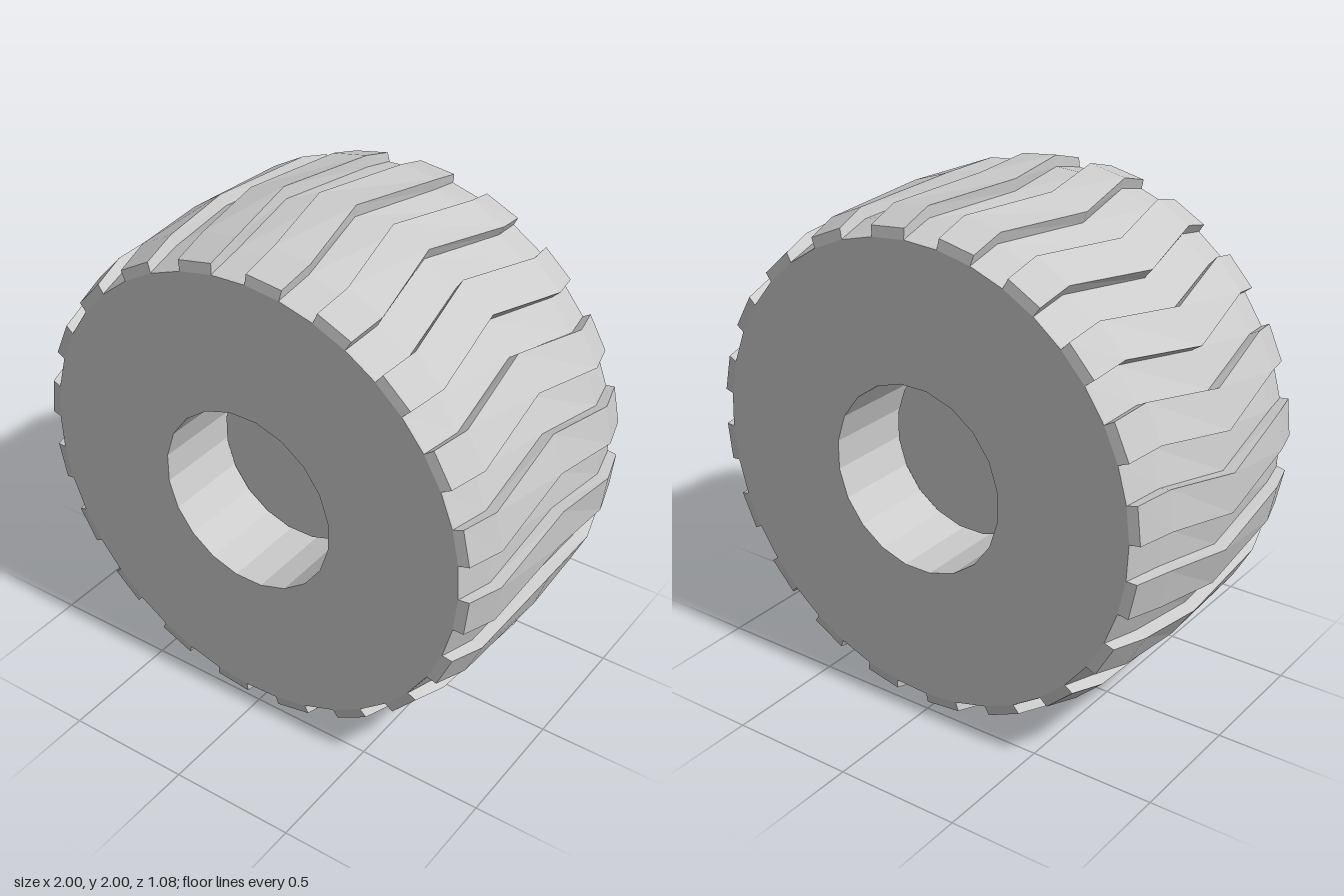
import * as THREE from 'three';

const LUGS = 20;
const BORE = 0.367;
const HUB = 0.35;
const HALF = 0.54;
const deg = Math.PI / 180;

// Cross-sections along the axle: z, lug radius, groove radius, chevron twist in degrees
const half = [
  { z: HALF, top: 0.9, low: 0.9, twist: -4.8 },
  { z: 0.533, top: 0.94, low: 0.903, twist: -4.8 },
  { z: 0.39, top: 0.982, low: 0.937, twist: -5.2 },
];
const stations = [
  ...half,
  { z: 0, top: 1, low: 0.953, twist: 0 },
  ...half.map((s) => ({ ...s, z: -s.z })).reverse(),
];

// Toothed outline: each lug spans 9 degrees, followed by a 9 degree groove
function section({ z, top, low, twist }) {
  const pts = [];
  for (let i = 0; i < LUGS; i++) {
    const a = 12.1 + twist + (i * 360) / LUGS;
    for (const [da, r] of [[0, top], [9, top], [9, low], [18, low]]) {
      const t = (a + da) * deg;
      pts.push(new THREE.Vector3(r * Math.cos(t), r * Math.sin(t), z));
    }
  }
  return pts;
}

// Skin neighbouring cross-sections with quads
function loft(rings) {
  const pos = [];
  for (let k = 0; k < rings.length - 1; k++) {
    const f = rings[k], b = rings[k + 1], n = f.length;
    for (let i = 0; i < n; i++) {
      const j = (i + 1) % n;
      for (const p of [f[i], b[i], f[j], f[j], b[i], b[j]]) pos.push(p.x, p.y, p.z);
    }
  }
  const geo = new THREE.BufferGeometry();
  geo.setAttribute('position', new THREE.Float32BufferAttribute(pos, 3));
  geo.computeVertexNormals();
  return geo;
}

function polygon(count, radius, start) {
  return Array.from({ length: count }, (_, i) => {
    const t = (start + (i * 360) / count) * deg;
    return new THREE.Vector2(radius * Math.cos(t), radius * Math.sin(t));
  });
}

export function createModel() {
  const group = new THREE.Group();
  group.name = 'wheel';
  const solid = new THREE.MeshStandardMaterial({ color: 0xcccccc, flatShading: true });
  const thin = new THREE.MeshStandardMaterial({ color: 0xcccccc, flatShading: true, side: THREE.DoubleSide });
  const add = (name, geo, mat) => {
    const mesh = new THREE.Mesh(geo, mat);
    mesh.name = name;
    mesh.position.y = 1;
    group.add(mesh);
    return mesh;
  };

  // Chevron tread
  add('tread', loft(stations.map(section)), solid);

  // Flat side walls with a round opening
  const wall = new THREE.Shape(polygon(LUGS * 2, 0.9, 7.3));
  wall.holes.push(new THREE.Path(polygon(LUGS, BORE, 9)));
  for (const side of [1, -1]) {
    const mesh = add(side > 0 ? 'frontSideWall' : 'backSideWall', new THREE.ShapeGeometry(wall), thin);
    mesh.position.z = side * HALF;
  }

  // Inner tube of the opening
  const bore = new THREE.CylinderGeometry(BORE, BORE, HALF * 2, LUGS, 1, true);
  bore.rotateX(Math.PI / 2).rotateZ(9 * deg);
  add('bore', bore, thin);

  // Recessed hub, with a narrow gap around it
  const hub = new THREE.CylinderGeometry(HUB, HUB, 0.42, LUGS);
  hub.rotateX(Math.PI / 2).rotateZ(9 * deg);
  add('hub', hub, solid);

  return group;
}
